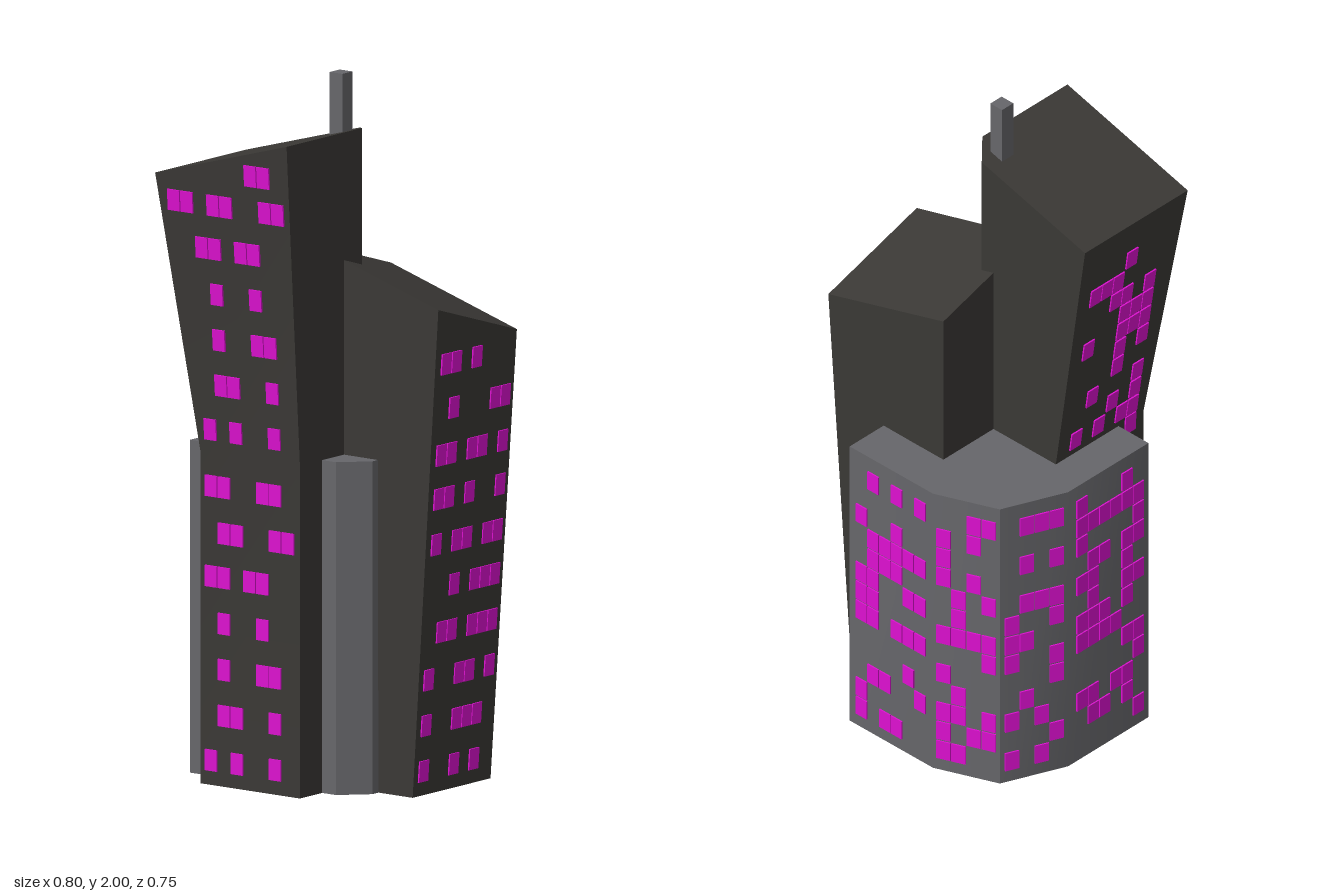
import * as THREE from 'three';
import { mergeGeometries, toCreasedNormals } from 'three/addons/utils/BufferGeometryUtils.js';

const paint = (color) => new THREE.MeshStandardMaterial({ color });
const dark = paint(0x3a3835), grey = paint(0x66666a), pink = paint(0xdd10d0);

function add(group, name, geometry, material) {
  const mesh = new THREE.Mesh(geometry, material);
  mesh.name = name;
  group.add(mesh);
}

// Stack of matching rings, each counter-clockwise in (x, -z), closed at both ends
function loft(rings, crease = 0.2) {
  const n = rings[0].length, index = [];
  for (let r = 0; r < rings.length - 1; r++) {
    for (let i = 0; i < n; i++) {
      const a = r * n + i, b = r * n + (i + 1) % n;
      index.push(a, b, b + n, a, b + n, a + n);
    }
  }
  const top = (rings.length - 1) * n;
  for (let i = 1; i < n - 1; i++) {
    index.push(0, i + 1, i, top, top + i, top + i + 1);
  }
  const g = new THREE.BufferGeometry();
  g.setAttribute('position', new THREE.Float32BufferAttribute(rings.flat(2), 3));
  g.setIndex(index);
  return toCreasedNormals(g, crease);
}

// Small panes laid on a wall; at(u, y) gives a wall point, along is the wall's own right
function windows(at, along, cells) {
  return mergeGeometries(cells.map(([u, y]) => {
    const up = at(u, y + 0.03).sub(at(u, y - 0.03)).normalize();
    const out = along.clone().cross(up).normalize();
    const matrix = new THREE.Matrix4().makeBasis(along, up, out).setPosition(at(u, y));
    return new THREE.BoxGeometry(0.042, 0.06, 0.009).applyMatrix4(matrix);
  }));
}

// Each row is a height and the numbers of its lit columns
const fromRows = (rows, start, step) =>
  rows.flatMap(([y, cols]) => [...cols].map((c) => [start + step * Number(c), y]));

// Scattered lit panes on a regular grid
let seed = 7;
const rand = () => (seed = (seed * 16807) % 2147483647) / 2147483647;
function scatter(u0, cols, y0, rows, density) {
  const cells = [];
  for (let r = 0; r < rows; r++) {
    for (let c = 0; c < cols; c++) {
      if (rand() < density) cells.push([u0 + c * 0.045, y0 + r * 0.066]);
    }
  }
  return cells;
}

const V = (x, y, z) => new THREE.Vector3(x, y, z);

export function createModel() {
  const model = new THREE.Group();
  model.name = 'towerCluster';

  // Low block with a rounded back corner
  const plan = [[-0.4, 0.21], [0.113, 0.21], [0.185, 0.138], [0.185, -0.375],
    [-0.135, -0.375], [-0.32, -0.3], [-0.4, -0.11]];
  const level = (points, y) => points.map(([x, z]) => [x, y, z]);
  add(model, 'lowBlock', loft([level(plan, 0), level(plan, 0.94)], 0.6), grey);

  // Panes on the back, the two corner facets and the side of the low block
  const walls = [[[0.17, -0.375], [-0.12, -0.375], 6], [plan[4], plan[5], 4],
    [plan[5], plan[6], 4], [[-0.4, -0.09], [-0.4, 0.2], 6]];
  for (const [p, q, cols] of walls) {
    const along = V(q[0] - p[0], 0, q[1] - p[1]).normalize();
    const mid = V((p[0] + q[0]) / 2, 0, (p[1] + q[1]) / 2);
    const at = (u, y) => mid.clone().addScaledVector(along, u).setY(y);
    const cells = scatter(-0.0225 * (cols - 1), cols, 0.07, 13, 0.45);
    add(model, 'lowBlockWindows', windows(at, along, cells), pink);
  }

  // Tall tower: straight below, flaring to the left and front above, with a slanted roof
  const roof = (x) => 1.85 + (x - 0.065) * 0.28;
  const lower = [[-0.285, 0.31], [0.065, 0.31], [0.065, 0.03], [0, -0.04], [-0.285, -0.04]];
  const upper = [[-0.397, 0.37], [0.065, 0.37], [0.065, 0.03], [0, -0.04], [-0.397, -0.04]];
  add(model, 'tallTower', loft([level(lower, 0), level(lower, 0.94),
    upper.map(([x, z]) => [x, roof(x), z])]), dark);

  const frontRows = [[0.07, '247'], [0.2, '347'], [0.33, '367'], [0.46, '36'], [0.59, '2356'],
    [0.715, '3478'], [0.845, '2367'], [1.005, '247'], [1.135, '347'], [1.265, '367'],
    [1.395, '36'], [1.525, '2356'], [1.65, '013478'], [1.75, '67']];
  const flare = (y, top) => Math.max(0, (y - 0.94) / (top - 0.94));
  add(model, 'tallTowerFrontWindows', windows(
    (u, y) => V(u, y, 0.31 + 0.06 * flare(y, roof(u))),
    V(1, 0, 0), fromRows(frontRows, -0.335, 0.045)), pink);
  add(model, 'tallTowerSideWindows', windows(
    (u, y) => V(-0.285 - 0.112 * flare(y, roof(-0.397)), y, u),
    V(0, 0, 1), scatter(0.03, 6, 0.07, 24, 0.45)), pink);

  // Short tower: right wall leans out, roof falls to the right and the back
  const slope = (x, z) => 1.39 - 0.3 * (x - 0.4) + 0.31 * (z - 0.115);
  const foot = [[-0.045, 0.11], [0.305, 0.11], [0.305, -0.24], [-0.045, -0.24]];
  const head = [[-0.045, 0.11], [0.4, 0.116], [0.4, -0.237], [-0.045, -0.24]];
  add(model, 'shortTower', loft([level(foot, 0),
    head.map(([x, z]) => [x, slope(x, z), z])]), dark);

  const sideRows = [[0.07, '035'], [0.2, '0345'], [0.33, '0346'], [0.46, '12456'],
    [0.59, '2456'], [0.715, '02356'], [0.845, '0136'], [0.97, '01346'], [1.1, '156'],
    [1.23, '013']];
  add(model, 'shortTowerWindows', windows(
    (u, y) => V(0.305 + 0.095 * y / slope(0.4, u), y, u),
    V(0, 0, -1), fromRows(sideRows, 0.07, -0.045)), pink);

  // Mast on the tall roof
  const mast = new THREE.BoxGeometry(0.045, 0.2, 0.045).translate(-0.008, 1.9, 0.032);
  add(model, 'mast', mast, grey);

  return model;
}
